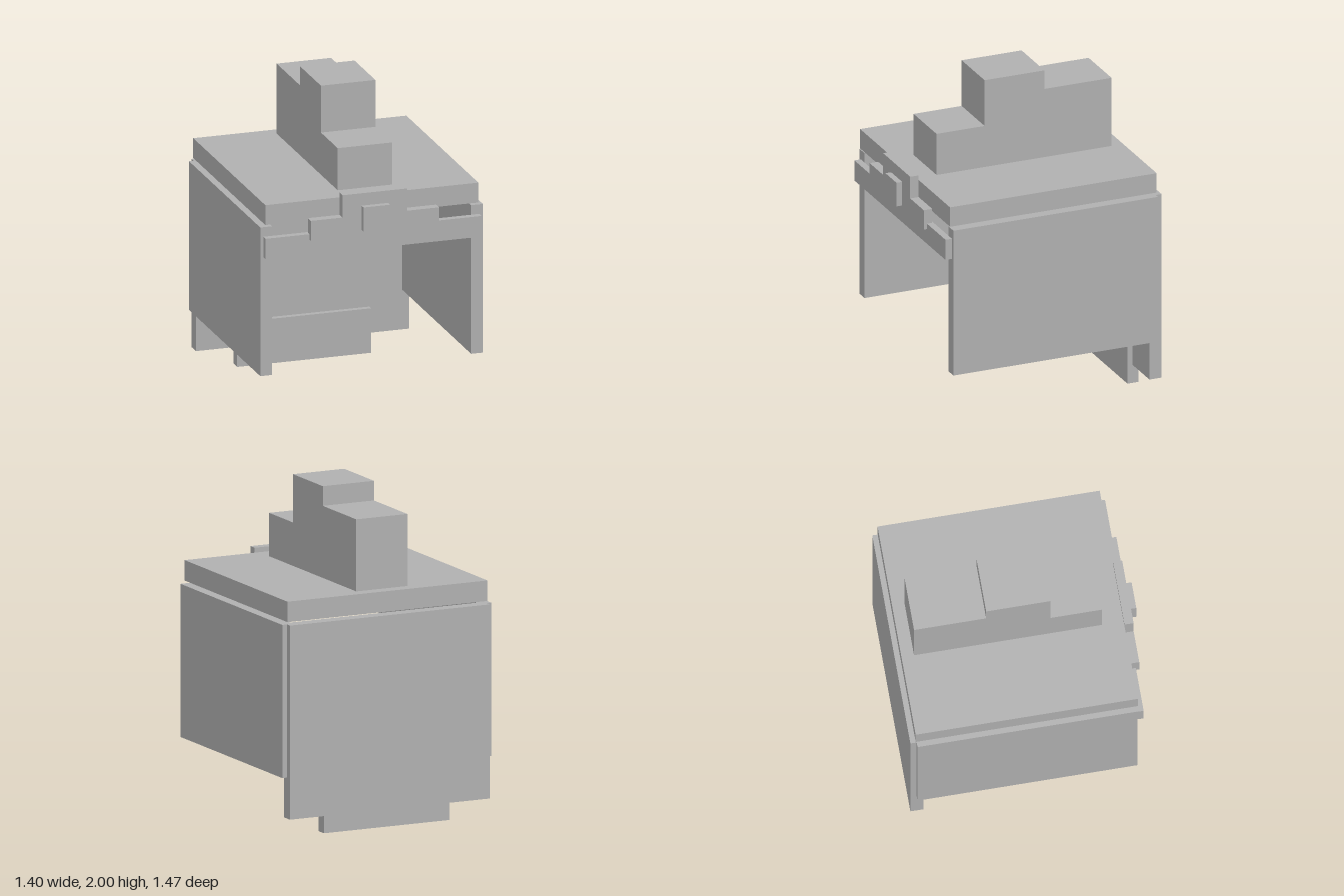
import * as THREE from 'three';

export function createModel() {
  const model = new THREE.Group();
  model.name = 'blockHelmet';
  const grey = new THREE.MeshStandardMaterial({ color: 0xb0b0b0 });
  grey.name = 'plain grey';

  const add = (name, geometry) => {
    const mesh = new THREE.Mesh(geometry, grey);
    mesh.name = name;
    model.add(mesh);
    return mesh;
  };

  // Box given by its [min, max] extent on each axis
  const box = (name, [x0, x1], [y0, y1], [z0, z1]) =>
    add(name, new THREE.BoxGeometry(x1 - x0, y1 - y0, z1 - z0))
      .position.set((x0 + x1) / 2, (y0 + y1) / 2, (z0 + z1) / 2);

  // Flat outline pushed out along its normal
  const slab = (points, depth) => new THREE.ExtrudeGeometry(
    new THREE.Shape(points.map(([x, y]) => new THREE.Vector2(x, y))),
    { depth, bevelEnabled: false });

  // Shell: roof, two side walls, back wall and neck flap
  box('roof', [-0.673, 0.67], [1.315, 1.44], [-0.703, 0.643]);
  box('leftWall', [0.627, 0.702], [0.365, 1.3], [-0.697, 0.635]);
  box('rightWall', [-0.702, -0.627], [0.365, 1.3], [-0.697, 0.635]);
  box('backWall', [-0.672, 0.67], [0.115, 1.3], [-0.735, -0.656]);
  box('neckFlap', [-0.423, 0.42], [0, 0.28], [-0.692, -0.622]);

  // Brow band with stepped emblem and central stud
  box('browBand', [-0.682, 0.679], [1.11, 1.24], [0.635, 0.677]);
  const emblem = slab([
    [-0.405, 1.205], [0.403, 1.205], [0.403, 1.33], [0.2, 1.33],
    [0.2, 1.47], [-0.205, 1.47], [-0.205, 1.33], [-0.405, 1.33],
  ], 0.055);
  add('browEmblem', emblem).position.z = 0.643;
  box('browStud', [-0.085, 0.081], [1.24, 1.392], [0.698, 0.735]);

  // Stepped crest, outlined in the side plane (back to front)
  const crest = slab([
    [-0.627, 1.44], [0.513, 1.44], [0.513, 1.705], [0.2, 1.705],
    [0.2, 2], [-0.19, 2], [-0.19, 1.88], [-0.627, 1.88],
  ], 0.343);
  crest.rotateY(-Math.PI / 2);
  add('crest', crest).position.x = 0.17;

  return model;
}
